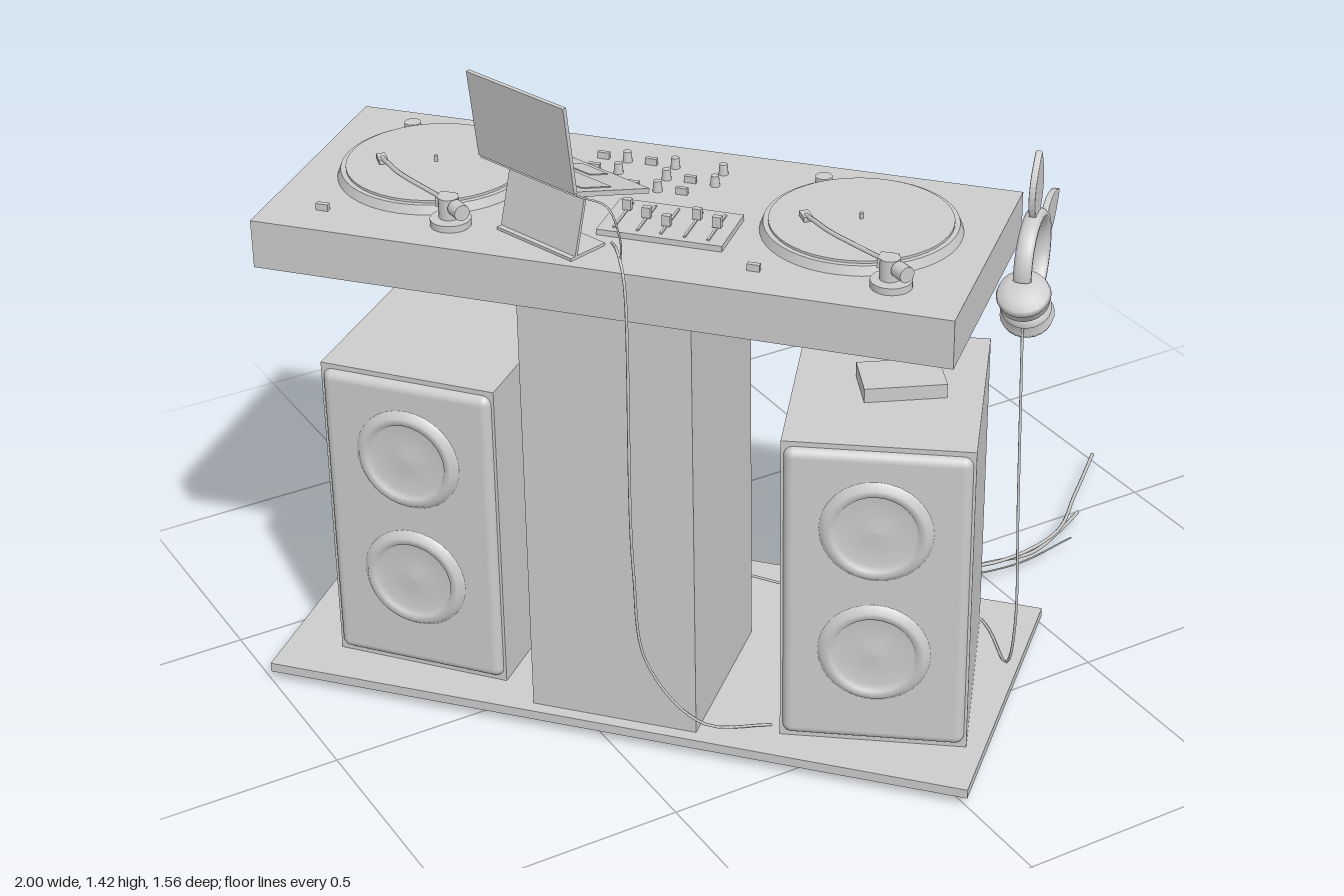
import * as THREE from 'three';
import { RoundedBoxGeometry } from 'three/addons/geometries/RoundedBoxGeometry.js';

const grey = new THREE.MeshStandardMaterial({ color: 0xcccccc, side: THREE.DoubleSide });

function add(parent, name, geometry, x = 0, y = 0, z = 0) {
  const mesh = new THREE.Mesh(geometry, grey);
  mesh.name = name;
  mesh.position.set(x, y, z);
  parent.add(mesh);
  return mesh;
}
const box = (w, h, d) => new THREE.BoxGeometry(w, h, d);
const cyl = (r, h, n = 20, top = r) => new THREE.CylinderGeometry(top, r, h, n);

function addGroup(parent, name, x, y, z, turn = 0) {
  const group = new THREE.Group();
  group.name = name;
  group.position.set(x, y, z);
  group.rotation.y = turn;
  parent.add(group);
  return group;
}

function cable(parent, name, points, radius = 0.003) {
  const curve = new THREE.CatmullRomCurve3(points.map(p => new THREE.Vector3(...p)));
  return add(parent, name, new THREE.TubeGeometry(curve, 48, radius, 6));
}

function rectShape(w, h) {
  return new THREE.Shape([[-1, -1], [1, -1], [1, 1], [-1, 1]]
    .map(([x, y]) => new THREE.Vector2(x * w / 2, y * h / 2)));
}

// Speaker cabinet with a padded baffle and two drivers
function speaker(parent, name, x, z, turn, hasPort) {
  const g = addGroup(parent, name, x, 0.3825, z, turn);
  const W = 0.376, H = 0.685, D = 0.456;
  const shape = rectShape(W, H);
  if (hasPort) shape.holes.push(new THREE.Path().absarc(0, 0.22, 0.055, 0, Math.PI * 2, true));
  add(g, 'cabinet', new THREE.ExtrudeGeometry(shape, { depth: D, bevelEnabled: false, curveSegments: 10 }), 0, 0, -D / 2);
  add(g, 'baffle', new RoundedBoxGeometry(0.366, 0.665, 0.05, 4, 0.02), 0, 0, D / 2 - 0.01);
  const cone = new THREE.LatheGeometry([[0, 0.006], [0.025, 0.004], [0.078, 0.0], [0.085, 0.012], [0.1, 0.014], [0.112, 0]]
    .map(p => new THREE.Vector2(...p)), 32);
  for (const y of [0.16, -0.12]) {
    add(g, 'driver', cone, 0, y, D / 2 + 0.015).rotation.x = Math.PI / 2;
  }
}

// Platter, tonearm and start button
function turntable(parent, u) {
  const g = addGroup(parent, 'turntable', u, 1.09, -0.03);
  add(g, 'platter', cyl(0.195, 0.018, 48, 0.188), 0, 0.009, 0);
  add(g, 'record', cyl(0.178, 0.006, 48), 0, 0.02, 0);
  add(g, 'spindle', cyl(0.004, 0.014, 8), 0, 0.028, 0);
  add(g, 'startButton', cyl(0.017, 0.012), -0.126, 0.006, -0.18);
  add(g, 'armBase', cyl(0.04, 0.014, 24), 0.114, 0.007, 0.208);
  add(g, 'armPivot', cyl(0.02, 0.045, 16), 0.11, 0.034, 0.205);
  add(g, 'armBlock', box(0.035, 0.02, 0.03), 0.105, 0.046, 0.2);
  const weight = add(g, 'counterweight', cyl(0.016, 0.03, 16), 0.14, 0.042, 0.228);
  weight.rotation.set(Math.PI / 2, 0, -0.85);
  cable(g, 'tonearm', [[0.14, 0.042, 0.228], [0.108, 0.042, 0.2], [-0.03, 0.042, 0.11], [-0.075, 0.038, 0.065], [-0.1, 0.032, 0.035]], 0.005);
  add(g, 'cartridge', box(0.018, 0.01, 0.032), -0.1, 0.03, 0.035).rotation.y = 0.6;
}

// Hollow desk, open along its back, with the mixer and turntables on top
function desk(parent) {
  const g = addGroup(parent, 'desk', -0.31, 0, 0.056, -0.838);
  const frame = rectShape(1.388, 0.1);
  frame.holes.push(new THREE.Path(rectShape(1.28, 0.068).getPoints().reverse()));
  add(g, 'deskShell', new THREE.ExtrudeGeometry(frame, { depth: 0.49, bevelEnabled: false }), 0, 1.04, -0.2775);
  add(g, 'deskFront', box(1.388, 0.1, 0.065), 0, 1.04, 0.245);
  for (const u of [-0.435, 0.435]) turntable(g, u);

  const mixer = addGroup(g, 'mixer', 0, 1.09, 0);
  add(mixer, 'faderPanel', box(0.25, 0.012, 0.14), 0.085, 0.006, 0.07);
  for (let i = 0; i < 5; i++) {
    const u = -0.01 + i * 0.047;
    add(mixer, 'faderSlot', box(0.005, 0.003, 0.11), u, 0.0135, 0.07);
    add(mixer, 'fader', box(0.017, 0.022, 0.012), u, 0.025, 0.045 + 0.022 * (i % 3));
  }
  for (let i = 0; i < 6; i++) {
    for (let j = 0; j < 3; j++) {
      if ((i + 2 * j) % 5 === 4) continue;
      const u = -0.14 + i * 0.05, v = -0.185 + j * 0.055;
      if (i % 2) add(mixer, 'knob', cyl(0.01, 0.022, 12, 0.008), u, 0.011, v);
      else add(mixer, 'switch', box(0.024, 0.014, 0.009), u, 0.007, v);
    }
  }
  for (const u of [-0.58, 0.289]) add(mixer, 'pitchSlider', box(0.025, 0.014, 0.01), u, 0.007, 0.193);
}

// Open laptop on a slanted stand
function laptop(parent) {
  const g = addGroup(parent, 'laptop', -0.568, 1.245, 0.1, -1.277);
  const keys = addGroup(g, 'keyboardHalf', 0, 0, 0);
  keys.rotation.x = -0.31;
  add(keys, 'keyboard', box(0.255, 0.01, 0.2), 0, -0.005, -0.1);
  add(keys, 'keyField', box(0.22, 0.003, 0.08), 0, 0.0005, -0.07);
  add(keys, 'trackpad', box(0.07, 0.003, 0.05), 0, 0.0005, -0.155);
  const lid = addGroup(g, 'screenHalf', 0, 0, 0);
  lid.rotation.x = 0.12;
  add(lid, 'lid', box(0.255, 0.18, 0.008), 0, 0.088, 0.004);
  add(lid, 'screen', box(0.235, 0.155, 0.002), 0, 0.09, -0.0005);
  add(g, 'standPlate', box(0.2, 0.14, 0.006), 0, -0.087, -0.035).rotation.x = -0.25;
  add(g, 'standFoot', box(0.2, 0.006, 0.09), 0, -0.152, -0.05);
}

// Headphones with leaf-shaped ears, hanging beside the desk end
function headphones(parent) {
  const g = addGroup(parent, 'headphones', 0.352, 0.97, 0.437, 0.735);
  const arc = -3.7;
  const band = add(g, 'headband', new THREE.TorusGeometry(0.09, 0.011, 10, 40, -arc + 0.6));
  band.scale.z = 1.7;
  band.rotation.z = -1.1;
  const cupProfile = [[0, -0.03], [0.034, -0.028], [0.05, -0.012], [0.042, 0], [0.054, 0.008], [0.05, 0.02], [0.03, 0.028], [0, 0.03]];
  const cup = new THREE.LatheGeometry(cupProfile.map(p => new THREE.Vector2(...p)), 24);
  for (const [x, y, turn] of [[-0.09, -0.04, 0.5], [-0.055, -0.088, 0.5 + Math.PI]]) {
    add(g, 'earCup', cup, x, y, 0.005).rotation.z = turn;
  }
  const leaf = new THREE.Shape();
  leaf.moveTo(-0.014, 0);
  leaf.bezierCurveTo(-0.055, 0.05, -0.03, 0.095, 0, 0.13);
  leaf.bezierCurveTo(0.03, 0.095, 0.055, 0.05, 0.014, 0);
  const ear = new THREE.ExtrudeGeometry(leaf, { depth: 0.008, bevelSize: 0.003, bevelThickness: 0.003, bevelSegments: 2 });
  for (const [x, y, turn] of [[0.0, 0.09, -0.15], [0.088, 0.01, -1.25]]) {
    add(g, 'leafEar', ear, x, y, -0.004).rotation.z = turn;
  }
}

export function createModel() {
  const model = new THREE.Group();
  model.name = 'djBooth';

  // Floor plate and central column
  add(model, 'basePlate', box(1.494, 0.02, 0.672), -0.25, 0.03, 0).rotation.y = -0.838;
  add(model, 'column', box(0.35, 0.99, 0.379), -0.337, 0.495, 0.082).rotation.y = -0.838;

  desk(model);
  laptop(model);
  headphones(model);
  speaker(model, 'leftSpeaker', 0.07, 0.365, -0.662, true);
  speaker(model, 'rightSpeaker', -0.55, -0.31, -0.88, false);
  add(model, 'smallBox', box(0.165, 0.03, 0.11), 0.095, 0.74, 0.372).rotation.y = -0.42;

  // Loose cables
  cable(model, 'headphoneCable', [[0.285, 0.88, 0.505], [0.272, 0.5, 0.535], [0.275, 0.2, 0.54], [0.3, 0.06, 0.48], [0.36, 0.045, 0.3], [0.32, 0.05, 0.17], [0.22, 0.05, 0.08], [0.05, 0.05, 0.03]]);
  cable(model, 'boxCable', [[0.17, 0.74, 0.34], [0.22, 0.735, 0.2], [0.24, 0.68, 0.16], [0.25, 0.4, 0.135], [0.25, 0.08, 0.12], [0.2, 0.05, 0.1]]);
  cable(model, 'deskCable', [[-0.45, 1.11, 0.2], [-0.475, 1.125, 0.27], [-0.48, 1.08, 0.3], [-0.475, 0.45, 0.3], [-0.44, 0.2, 0.29], [-0.35, 0.065, 0.35], [-0.22, 0.045, 0.4]]);
  cable(model, 'floorCable', [[-0.28, 0.05, -0.35], [-0.2, 0.05, -0.33], [-0.03, 0.05, -0.16], [0.08, 0.06, 0.02], [0.16, 0.055, 0.11]]);
  cable(model, 'powerCable', [[0.05, 0.05, 0.03], [0.2, 0.065, 0.04], [0.36, 0.07, 0.12], [0.5, 0.06, 0.155], [0.7, 0.04, 0.1], [0.85, 0.025, -0.03], [1.0, 0.018, -0.165]], 0.004);
  cable(model, 'audioCable', [[0.3, 0.05, 0.25], [0.34, 0.05, 0.18], [0.45, 0.055, 0.14], [0.6, 0.045, 0.145], [0.72, 0.035, 0.09], [0.815, 0.022, 0.03]], 0.004);
  cable(model, 'signalCable', [[0.1, 0.05, 0.02], [0.28, 0.06, 0.1], [0.42, 0.05, 0.15], [0.55, 0.045, 0.165], [0.73, 0.03, 0.12]], 0.002);
  cable(model, 'laptopCableLeft', [[-0.53, 1.235, 0.22], [-0.5, 1.23, 0.28], [-0.49, 1.18, 0.305], [-0.47, 1.1, 0.27]], 0.002);
  cable(model, 'laptopCableRight', [[-0.58, 1.235, -0.02], [-0.56, 1.235, -0.08], [-0.52, 1.18, -0.125], [-0.46, 1.1, -0.1]], 0.002);
  return model;
}
